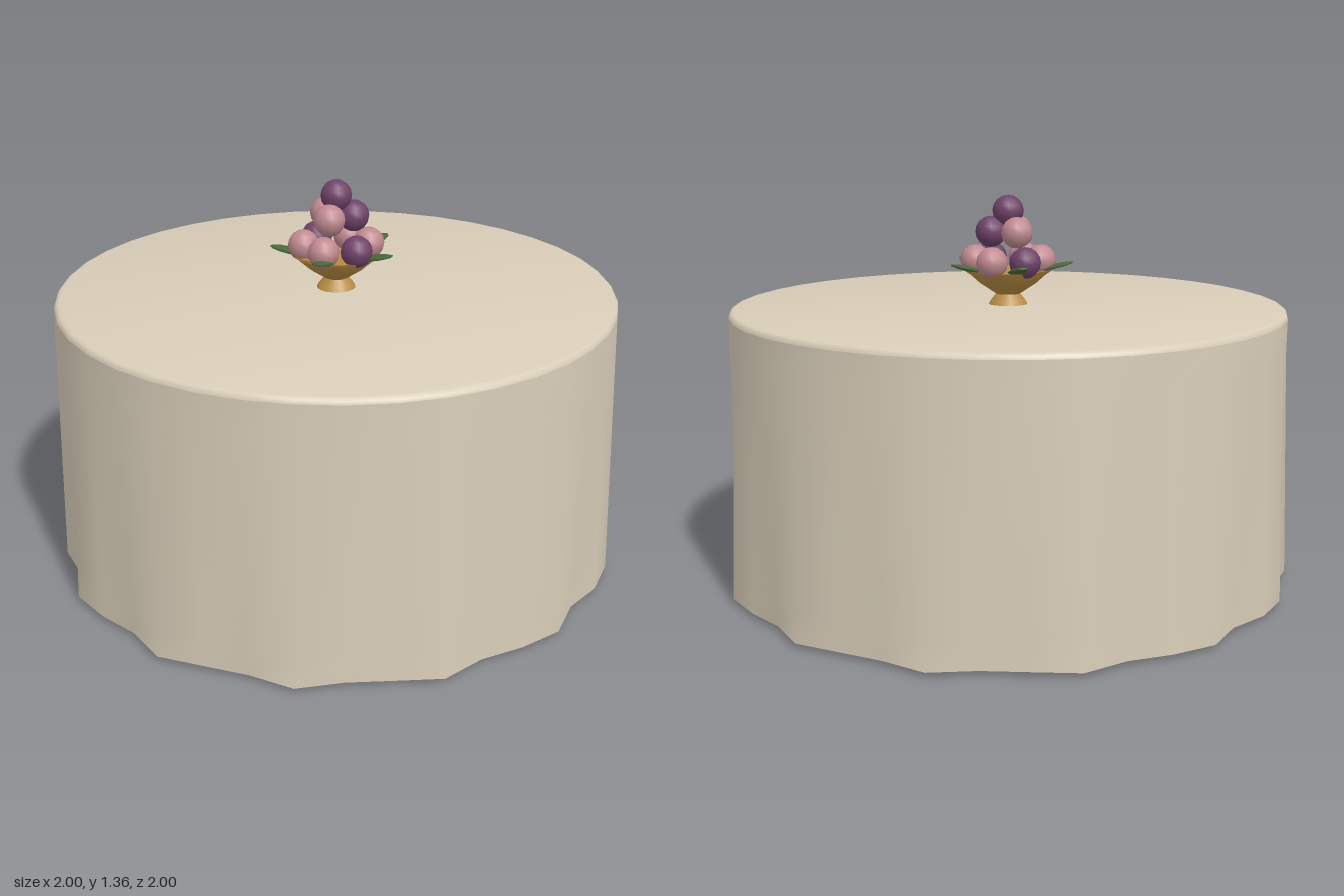
import * as THREE from 'three';
import { toCreasedNormals } from 'three/addons/utils/BufferGeometryUtils.js';

const mat = (name, color, side = THREE.FrontSide) => {
  const m = new THREE.MeshStandardMaterial({ color, side });
  m.name = name;
  return m;
};

const lathe = (points, segments) =>
  new THREE.LatheGeometry(points.map(([r, y]) => new THREE.Vector2(r, y)), segments);

export function createModel() {
  const linen = mat('linen', 0xd8cdb8, THREE.DoubleSide);
  const wood = mat('darkWood', 0x4a2c20);
  const gold = mat('gold', 0xb98c42, THREE.DoubleSide);
  const plum = mat('plum', 0x6f4269);
  const rose = mat('rose', 0xc08a90);
  const green = mat('leafGreen', 0x486b38);

  const model = new THREE.Group();
  model.name = 'drapedTable';
  const add = (parent, name, geometry, material, x = 0, y = 0, z = 0) => {
    const mesh = new THREE.Mesh(geometry, material);
    mesh.name = name;
    mesh.position.set(x, y, z);
    parent.add(mesh);
    return mesh;
  };

  // Cloth skirt: folds deepen from the rim down to the hem
  const top = 0.96, hem = 0.015;
  const skirt = new THREE.CylinderGeometry(1, 1, top - hem, 40, 10, true);
  skirt.translate(0, (top + hem) / 2, 0);
  const p = skirt.attributes.position;
  for (let i = 0; i < p.count; i++) {
    const t = (top - p.getY(i)) / (top - hem);
    const a = Math.atan2(p.getZ(i), p.getX(i));
    const r = 0.975 + 0.017 * t - 0.025 * t * Math.sin(14 * a);
    p.setX(i, r * Math.cos(a));
    p.setZ(i, r * Math.sin(a));
  }
  add(model, 'clothSkirt', toCreasedNormals(skirt, 0.9), linen);

  // Cloth top with a softly rounded rim
  add(model, 'clothTop', toCreasedNormals(
    lathe([[0.975, 0.96], [0.972, 0.97], [0.965, 0.977], [0.955, 0.98], [0, 0.98]], 40), 0.6), linen);

  // Table under the cloth
  add(model, 'tableTop', new THREE.CylinderGeometry(0.95, 0.95, 0.07, 40), wood, 0, 0.922, 0);
  const leg = new THREE.CylinderGeometry(0.025, 0.025, 0.89, 12);
  for (const x of [-0.56, 0.56])
    for (const z of [-0.56, 0.56]) add(model, 'tableLeg', leg, wood, x, 0.445, z);

  // Footed fruit bowl
  const centrepiece = new THREE.Group();
  centrepiece.name = 'centrepiece';
  model.add(centrepiece);
  add(centrepiece, 'bowlFoot', lathe([[0.07, 0.978], [0.062, 0.992], [0.04, 1.02]], 16), gold);
  add(centrepiece, 'bowl',
    lathe([[0, 1.01], [0.04, 1.015], [0.1, 1.055], [0.15, 1.1], [0.13, 1.1], [0, 1.085]], 16), gold);

  // Stacked fruit: ring of six, ring of three, one on top
  const fruit = new THREE.SphereGeometry(0.055, 12, 8);
  for (let i = 0; i < 6; i++) {
    const a = i * Math.PI / 3;
    add(centrepiece, 'lowerFruit', fruit, i % 3 ? rose : plum,
      0.114 * Math.cos(a), 1.135, 0.114 * Math.sin(a));
  }
  for (let i = 0; i < 3; i++) {
    const a = Math.PI / 3 + i * 2 * Math.PI / 3;
    add(centrepiece, 'middleFruit', fruit, i === 2 ? plum : rose,
      0.06 * Math.cos(a), 1.235, 0.06 * Math.sin(a));
  }
  add(centrepiece, 'topFruit', fruit, plum, 0, 1.308, 0);

  // Five leaves around the bowl rim, tilted up at the tips
  const leaf = new THREE.SphereGeometry(1, 8, 6);
  leaf.rotateZ(Math.PI / 2);
  leaf.scale(0.072, 0.009, 0.035);
  leaf.rotateZ(0.24);
  leaf.translate(0.16, 1.113, 0);
  for (let i = 0; i < 5; i++)
    add(centrepiece, 'leaf', leaf, green).rotation.y = Math.PI / 2 + i * 2 * Math.PI / 5;

  return model;
}
